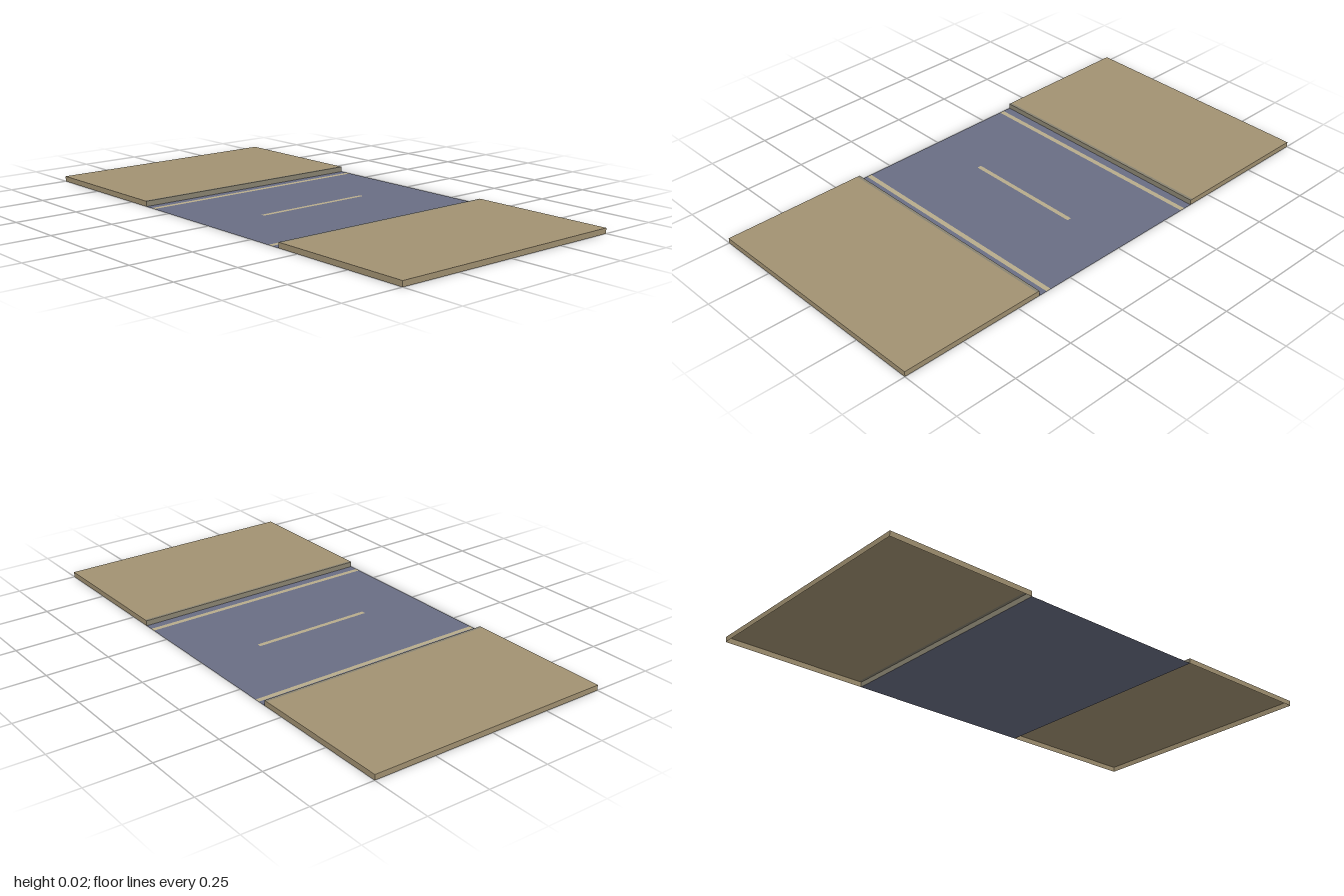
import * as THREE from 'three';

const W = 1, H = 0.021, ROAD = 0.8, LENGTH = 2;
const DEPTH = (LENGTH - ROAD) / 2;

const material = (color) => new THREE.MeshStandardMaterial({ color, side: THREE.DoubleSide });
const paving = material(0xa29272);
const kerb = material(0x8a8472);
const asphalt = material(0x6a6e84);
const paint = material(0xb8ac8c);

// Thin sheet lying flat, facing up
function sheet(name, mat, width, depth, y, z) {
  const mesh = new THREE.Mesh(new THREE.PlaneGeometry(width, depth).rotateX(-Math.PI / 2), mat);
  mesh.name = name;
  mesh.position.set(0, y, z);
  return mesh;
}

// Thin upright sheet, turned about y
function wall(name, mat, width, x, z, turn) {
  const mesh = new THREE.Mesh(new THREE.PlaneGeometry(width, H), mat);
  mesh.name = name;
  mesh.position.set(x, H / 2, z);
  mesh.rotation.y = turn;
  return mesh;
}

// Raised pavement, open underneath, with its kerb towards +z
function createPavement() {
  const pavement = new THREE.Group();
  const edge = 0.012;
  pavement.add(
    sheet('pavementTop', paving, W, DEPTH - edge, H, -edge / 2),
    sheet('kerbTop', kerb, W, edge, H, DEPTH / 2 - edge / 2),
    wall('kerbFace', kerb, W, 0, DEPTH / 2, 0),
    wall('outerFace', paving, W, 0, -DEPTH / 2, Math.PI),
  );
  for (const s of [-1, 1]) {
    pavement.add(wall('pavementEnd', paving, DEPTH, s * W / 2, 0, s * Math.PI / 2));
  }
  return pavement;
}

export function createModel() {
  const model = new THREE.Group();
  model.name = 'roadSection';

  // Flat carriageway
  model.add(sheet('roadSurface', asphalt, W, ROAD, 0, 0));

  // Painted centre dash and edge lines
  const paintY = 0.0006;
  model.add(sheet('centreDash', paint, 0.5, 0.018, paintY, 0));
  for (const s of [-1, 1]) {
    model.add(sheet('edgeLine', paint, W, 0.02, paintY, s * 0.355));
  }

  // Pavements on both sides, kerbs facing the road
  for (const s of [-1, 1]) {
    const pavement = createPavement();
    pavement.name = s > 0 ? 'frontPavement' : 'backPavement';
    pavement.position.z = s * (ROAD + DEPTH) / 2;
    pavement.rotation.y = s > 0 ? Math.PI : 0;
    model.add(pavement);
  }
  return model;
}
